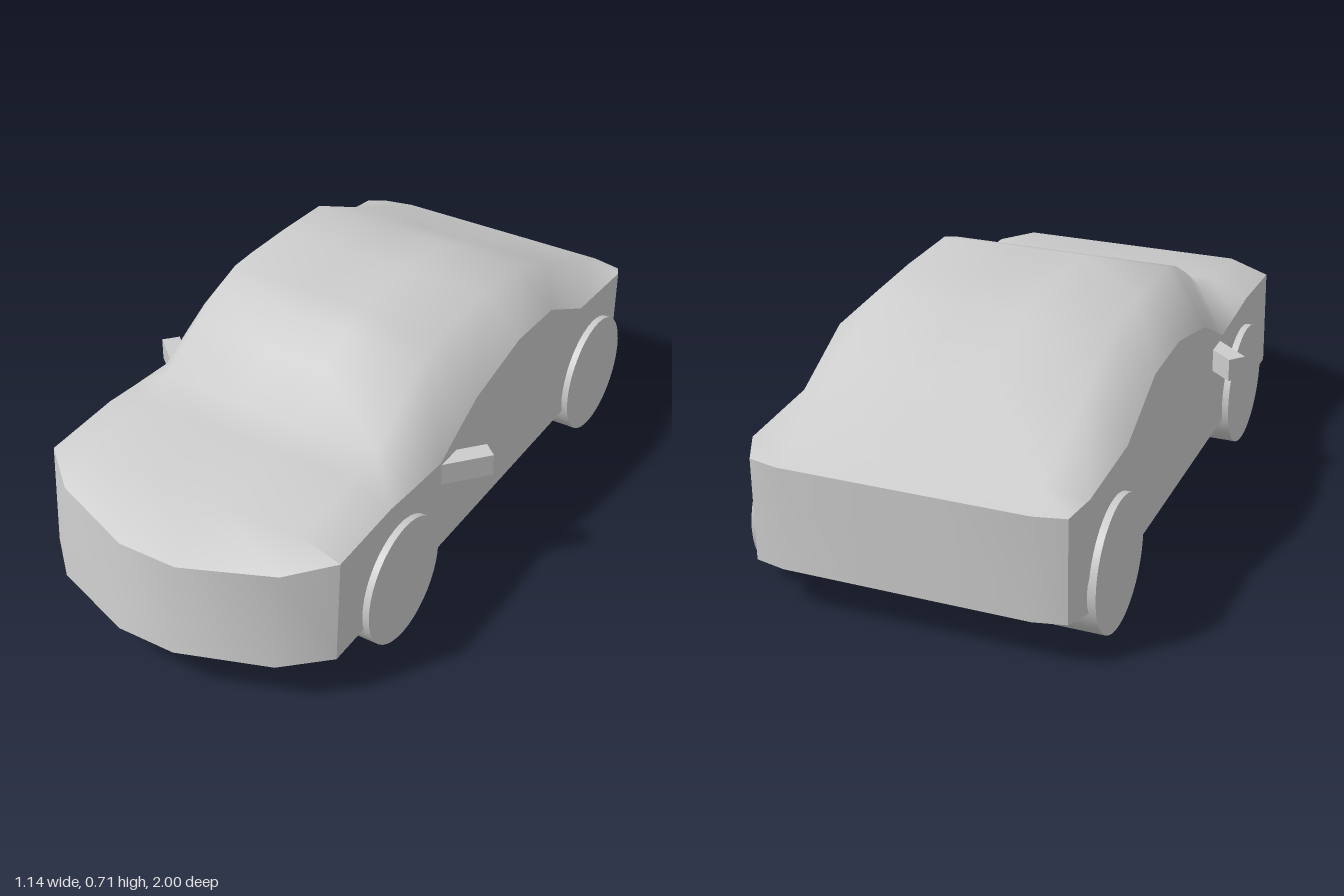
import * as THREE from 'three';
import { toCreasedNormals } from 'three/addons/utils/BufferGeometryUtils.js';

const FLOOR = 0.14;
const COLUMNS = [-0.47, -0.35, -0.09, 0.09, 0.35, 0.47];

// Cross-sections front to rear: [z, shoulder height, top height]
const STATIONS = [
  [0.77, 0.45, 0.49], [0.52, 0.46, 0.51], [0.40, 0.45, 0.53], [0.25, 0.44, 0.625],
  [0.14, 0.50, 0.685], [0.05, 0.545, 0.715], [-0.20, 0.60, 0.715], [-0.41, 0.59, 0.705],
  [-0.63, 0.48, 0.60], [-0.91, 0.465, 0.475],
];

// Edge rows for half the car, outside to middle, mirrored: [x, y, z]
const mirrorRow = half => [
  ...half.map(([x, y, z]) => new THREE.Vector3(-x, y, z)),
  ...half.slice().reverse().map(([x, y, z]) => new THREE.Vector3(x, y, z)),
];
const NOSE = mirrorRow([[0.47, 0.45, 0.77], [0.35, 0.425, 0.87], [0.09, 0.41, 0.965]]);
const TAIL = mirrorRow([[0.44, 0.44, -0.98], [0.35, 0.44, -1], [0.09, 0.44, -1]]);

function buildGeometry(points, index) {
  const geometry = new THREE.BufferGeometry().setFromPoints(points);
  geometry.setIndex(index);
  geometry.computeVertexNormals();
  return geometry;
}

export function createModel() {
  const car = new THREE.Group();
  car.name = 'car';
  const material = new THREE.MeshStandardMaterial({ color: 0xcccccc });
  const add = (name, geometry) => {
    const mesh = new THREE.Mesh(geometry, material);
    mesh.name = name;
    car.add(mesh);
    return mesh;
  };

  // Bonnet, cabin and boot as one smooth skin
  const rows = [
    NOSE,
    ...STATIONS.map(([z, shoulder, top]) => COLUMNS.map((x, j) =>
      new THREE.Vector3(x, j === 0 || j === 5 ? shoulder : top, z))),
    TAIL,
  ];
  const skinIndex = [];
  for (let i = 0; i < rows.length - 1; i++) {
    for (let j = 0; j < 5; j++) {
      const a = i * 6 + j, b = a + 1, c = a + 6, d = c + 1;
      skinIndex.push(a, b, c, b, d, c);
    }
  }
  add('upperBody', buildGeometry(rows.flat(), skinIndex));

  // Walls drop from the skin's rim to the floor; the nose leans forward
  const sides = rows.slice(2, -1);
  const rim = [
    ...NOSE,
    ...sides.map(row => row[5]),
    ...TAIL.slice().reverse(),
    ...sides.map(row => row[0]).reverse(),
  ];
  const base = rim.map((p, i) =>
    new THREE.Vector3(p.x, FLOOR, p.z + (i < 6 ? (i % 5 ? 0.033 : 0.02) : 0)));
  const n = rim.length;
  const wallIndex = [];
  for (let i = 0; i < n; i++) {
    const k = (i + 1) % n;
    wallIndex.push(n + i, n + k, i, n + k, k, i);
  }
  add('bodySides', toCreasedNormals(buildGeometry([...rim, ...base], wallIndex), 0.8));

  // Flat underside
  const outline = new THREE.Shape(base.map(p => new THREE.Vector2(p.x, p.z)));
  const underside = new THREE.ShapeGeometry(outline);
  underside.rotateX(Math.PI / 2);
  add('underside', underside).position.y = FLOOR;

  // Wheels
  const wheel = new THREE.CylinderGeometry(0.188, 0.188, 0.14, 40);
  wheel.rotateZ(Math.PI / 2);
  for (const [end, z] of [['front', 0.473], ['rear', -0.73]]) {
    for (const [side, s] of [['Left', 1], ['Right', -1]]) {
      add(`${end}${side}Wheel`, wheel).position.set(s * 0.42, 0.19, z);
    }
  }

  // Swept-back wing mirrors
  const mirror = new THREE.BoxGeometry(0.17, 0.068, 0.055);
  for (const [name, s, angle, x, z] of [
    ['leftMirror', 1, 0.86, 0.55, 0.11], ['rightMirror', -1, 0.71, 0.553, 0.12],
  ]) {
    const mesh = add(name, mirror);
    mesh.position.set(s * (x - 0.085 * Math.cos(angle)), 0.397, z + 0.085 * Math.sin(angle));
    mesh.rotation.y = s * angle;
  }
  return car;
}
